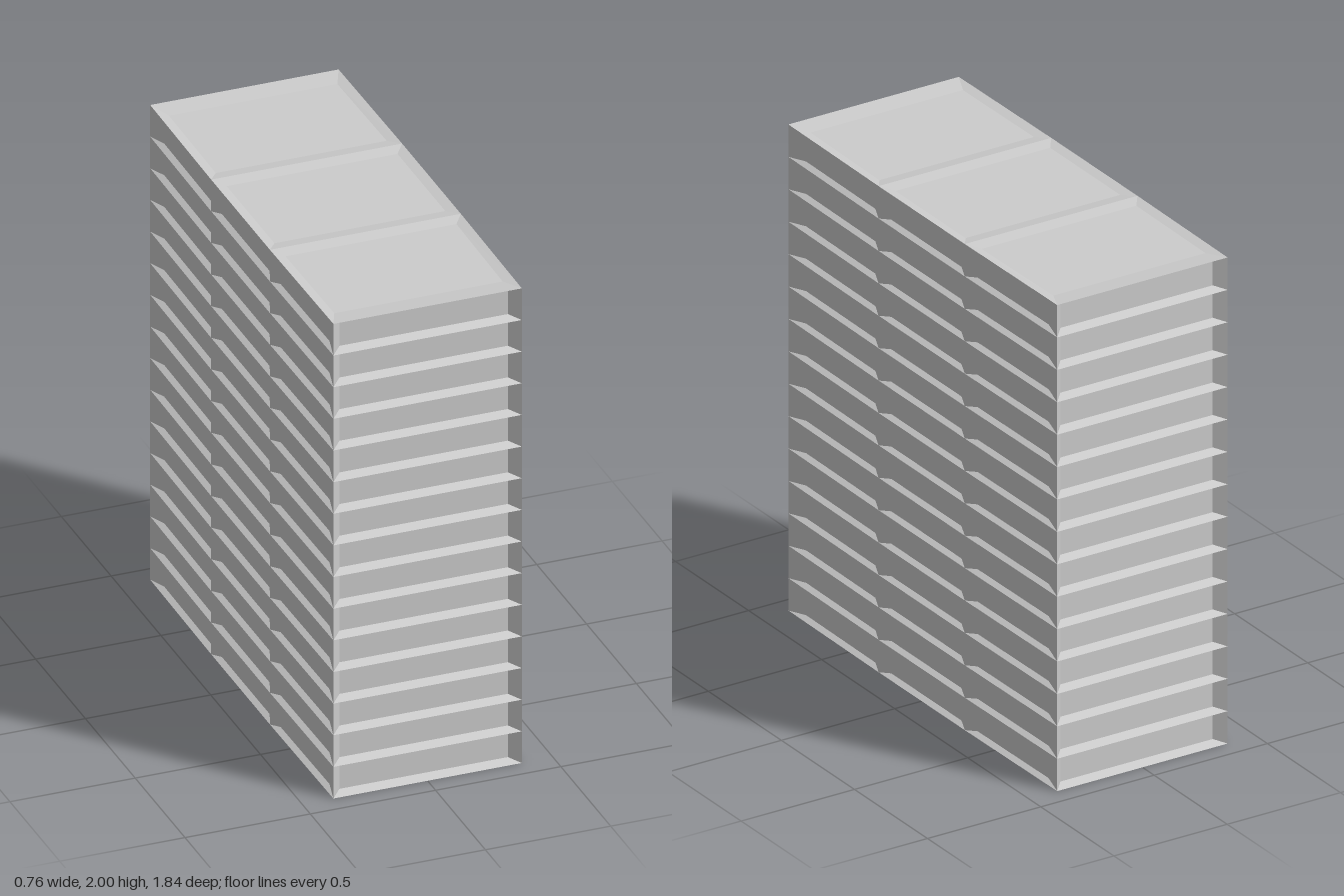
import * as THREE from 'three';

const FLOORS = 15, FLOOR_H = 2 / FLOORS;
const END_X = 0.376, MID_X = 0.381; // half widths at the corners and at the columns
const HALF_Z = 0.92;
const BAY_Z = [HALF_Z, 0.295, -0.295, -HALF_Z];

// Adds one recessed panel: corners counter-clockwise from the lower left,
// insets are [left, right, bottom, top], depth is the recess.
function addPanel(out, corners, insets, depth) {
  const [a, b, c, d] = corners;
  const [l, r, bo, t] = insets;
  const u = b.clone().sub(a).normalize();
  const v = d.clone().sub(a).normalize();
  const n = u.clone().cross(v).normalize();
  const move = (p, du, dv) => p.clone().addScaledVector(u, du).addScaledVector(v, dv).addScaledVector(n, -depth);
  const inner = [move(a, l, bo), move(b, -r, bo), move(c, -r, -t), move(d, l, -t)];
  const quad = (p, q, s, w) => [p, q, s, p, s, w].forEach((k) => out.push(k.x, k.y, k.z));
  quad(...inner);
  for (let i = 0; i < 4; i++) {
    const j = (i + 1) % 4;
    quad(corners[i], corners[j], inner[j], inner[i]); // sloping reveal
  }
}

function toGeometry(points) {
  const g = new THREE.BufferGeometry();
  g.setAttribute('position', new THREE.Float32BufferAttribute(points, 3));
  g.computeVertexNormals();
  return g;
}

export function createModel() {
  const group = new THREE.Group();
  group.name = 'towerBlock';
  const body = new THREE.Group();
  body.name = 'body';
  body.position.y = 1; // built around its centre
  group.add(body);
  const material = new THREE.MeshStandardMaterial({ color: 0xcccccc, flatShading: true });
  const V = (x, y, z) => new THREE.Vector3(x, y, z);
  const end = [0.09, 0.055, 0.055, 0.09]; // insets along z at the ends and columns
  const bayInsets = (i) => [i === 0 ? end[0] : end[1], i === 2 ? end[3] : end[2]];
  const halfX = (i) => (i === 0 || i === 3 ? END_X : MID_X);

  // End walls: one wide recessed panel per floor
  const endWall = [];
  // Long walls: three bays of shallower panels per floor
  const longWall = [];
  for (let f = 0; f < FLOORS; f++) {
    const y0 = -1 + f * FLOOR_H, y1 = y0 + FLOOR_H;
    addPanel(endWall,
      [V(-END_X, y0, HALF_Z), V(END_X, y0, HALF_Z), V(END_X, y1, HALF_Z), V(-END_X, y1, HALF_Z)],
      [0.04, 0.04, 0.013, 0.013], 0.04);
    for (let i = 0; i < 3; i++) {
      const [x0, x1, z0, z1] = [halfX(i), halfX(i + 1), BAY_Z[i], BAY_Z[i + 1]];
      addPanel(longWall,
        [V(x0, y0, z0), V(x1, y0, z1), V(x1, y1, z1), V(x0, y1, z0)],
        [...bayInsets(i), 0.012, 0.012], 0.021);
    }
  }

  // Roof: three very shallow panels divided by low ridges
  const roof = [];
  for (let i = 0; i < 3; i++) {
    const [x0, x1, z0, z1] = [halfX(i), halfX(i + 1), BAY_Z[i], BAY_Z[i + 1]];
    const [near, far] = bayInsets(i);
    addPanel(roof,
      [V(-x0, 1, z0), V(x0, 1, z0), V(x1, 1, z1), V(-x1, 1, z1)],
      [0.04, 0.04, near, far], 0.008);
  }

  // Each surface and its half-turned twin
  const addPair = (points, names, axis) => {
    const geometry = toGeometry(points);
    names.forEach((name, i) => {
      const mesh = new THREE.Mesh(geometry, material);
      mesh.name = name;
      mesh.rotation[axis] = i * Math.PI;
      body.add(mesh);
    });
  };
  addPair(endWall, ['frontWall', 'backWall'], 'y');
  addPair(longWall, ['leftWall', 'rightWall'], 'y');
  addPair(roof, ['roof', 'underside'], 'z');
  return group;
}
